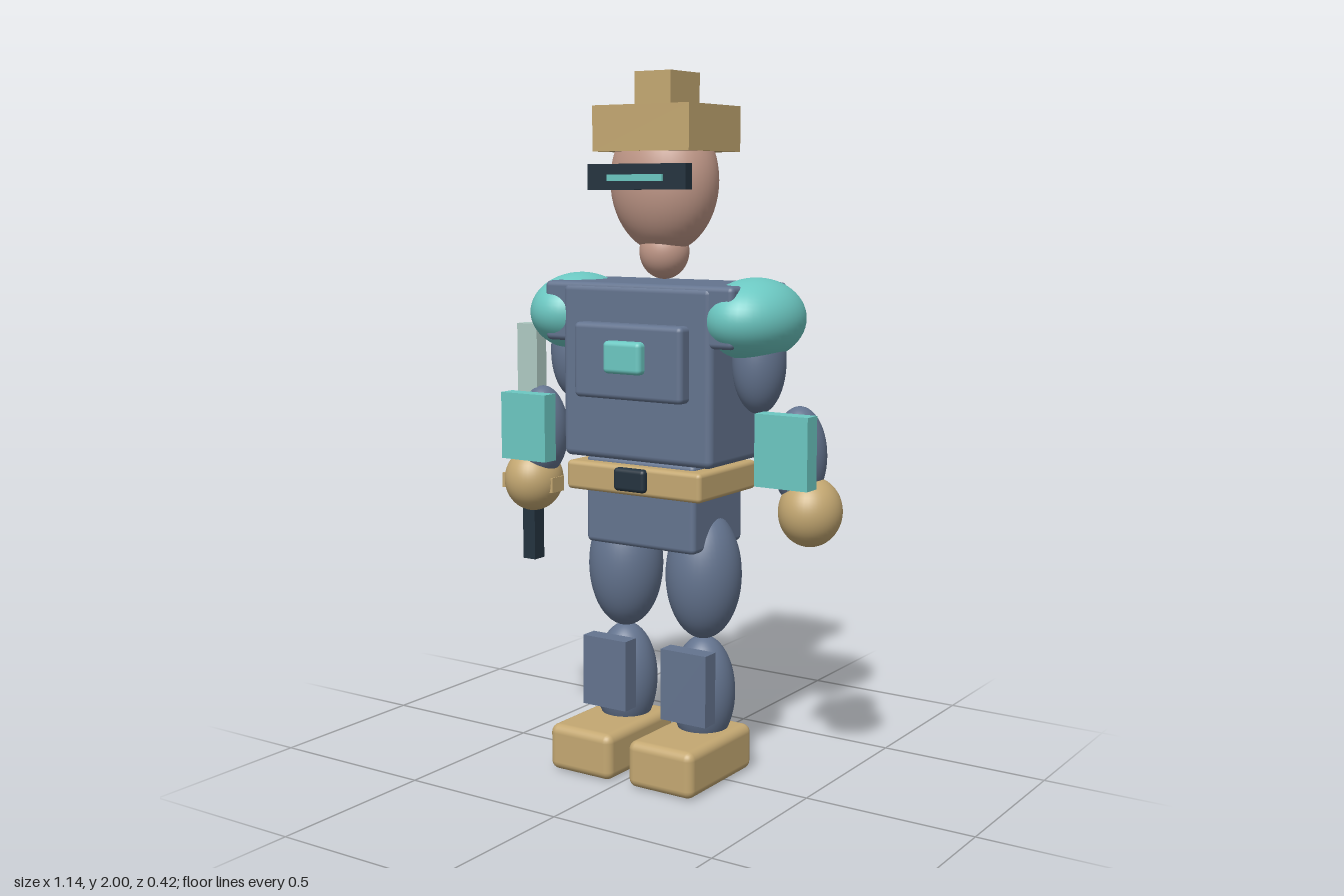
import * as THREE from 'three';
import { RoundedBoxGeometry } from 'three/addons/geometries/RoundedBoxGeometry.js';

const mat = (name, color) => Object.assign(new THREE.MeshStandardMaterial({ color }), { name });

export function createModel() {
  const slate = mat('slate', 0x64748f);
  const teal = mat('teal', 0x6cc8c2);
  const tan = mat('tan', 0xc4a872);
  const skin = mat('skin', 0xc39a8a);
  const dark = mat('dark', 0x24333f);
  const steel = mat('steel', 0xafcac3);

  const model = new THREE.Group();
  model.name = 'figure';
  // the body is symmetric about this group's own x = 0
  const body = new THREE.Group();
  body.name = 'body';
  body.position.x = 0.005;
  model.add(body);

  const add = (name, geometry, material, x, y, z) => {
    const mesh = new THREE.Mesh(geometry, material);
    mesh.name = name;
    mesh.position.set(x, y, z);
    body.add(mesh);
    return mesh;
  };
  // box given by its limits; a radius rounds the edges
  const box = (name, material, [x0, x1], [y0, y1], [z0, z1], radius = 0) => {
    const size = [x1 - x0, y1 - y0, z1 - z0];
    const geometry = radius
      ? new RoundedBoxGeometry(...size, 3, radius)
      : new THREE.BoxGeometry(...size);
    return add(name, geometry, material, (x0 + x1) / 2, (y0 + y1) / 2, (z0 + z1) / 2);
  };
  const ellipsoid = (name, material, [x, y, z], [rx, ry, rz]) =>
    add(name, new THREE.SphereGeometry(1, 40, 28).scale(rx, ry, rz), material, x, y, z);

  // head, visor and hat
  ellipsoid('head', skin, [0, 1.7, -0.031], [0.161, 0.203, 0.134]);
  ellipsoid('neck', skin, [0, 1.502, -0.031], [0.071, 0.078, 0.071]);
  box('visor', dark, [-0.163, 0.163], [1.674, 1.745], [0.08, 0.113]);
  box('visorLight', teal, [-0.091, 0.091], [1.698, 1.716], [0.105, 0.122]);
  box('hatBrim', tan, [-0.16, 0.16], [1.78, 1.907], [-0.177, 0.093]);
  box('hatCrown', tan, [-0.06, 0.06], [1.905, 2], [-0.12, 0.03]);

  // torso
  box('torso', slate, [-0.25, 0.25], [0.917, 1.413], [-0.191, 0.121], 0.02);
  box('collar', slate, [-0.315, 0.315], [1.247, 1.417], [-0.187, 0.117], 0.015);
  box('chestPlate', slate, [-0.181, 0.181], [1.095, 1.307], [0.1, 0.163], 0.015);
  box('chestEmblem', teal, [-0.063, 0.063], [1.17, 1.261], [0.145, 0.19], 0.014);

  // waist
  box('belt', tan, [-0.227, 0.227], [0.823, 0.906], [-0.17, 0.137], 0.013);
  box('buckle', dark, [-0.053, 0.053], [0.836, 0.902], [0.115, 0.154], 0.012);
  box('pelvis', slate, [-0.185, 0.185], [0.667, 0.92], [-0.162, 0.1], 0.015);

  // arms and legs, mirrored
  for (const [side, s] of [['left', 1], ['right', -1]]) {
    const span = (a, b) => (s > 0 ? [a, b] : [-b, -a]);
    ellipsoid(side + 'ShoulderPad', teal, [s * 0.297, 1.322, -0.034], [0.13, 0.114, 0.174]);
    ellipsoid(side + 'UpperArm', slate, [s * 0.312, 1.205, -0.033], [0.073, 0.145, 0.082]);
    ellipsoid(side + 'Forearm', slate, [s * 0.441, 0.953, -0.033], [0.075, 0.138, 0.079]);
    box(side + 'ForearmPlate', teal, span(0.357, 0.52), [0.876, 1.076], [0.015, 0.068]);
    ellipsoid(side + 'Hand', tan, [s * 0.477, 0.803, -0.033], [0.087, 0.097, 0.094]);

    ellipsoid(side + 'Thigh', slate, [s * 0.135, 0.585, -0.032], [0.109, 0.188, 0.111]);
    ellipsoid(side + 'Shin', slate, [s * 0.135, 0.238, -0.031], [0.093, 0.166, 0.094]);
    box(side + 'ShinPlate', slate, span(0.061, 0.212), [0.17, 0.378], [0.027, 0.08]);
    box(side + 'Foot', tan, span(0.029, 0.245), [0, 0.135], [-0.13, 0.208], 0.025);
  }

  // short sword in the right hand
  box('swordBlade', steel, [-0.521, -0.447], [0.79, 1.277], [-0.06, -0.014]);
  box('swordGuard', tan, [-0.58, -0.388], [0.77, 0.815], [-0.066, -0.007]);
  box('swordGrip', dark, [-0.507, -0.462], [0.555, 0.79], [-0.06, -0.014]);

  return model;
}
